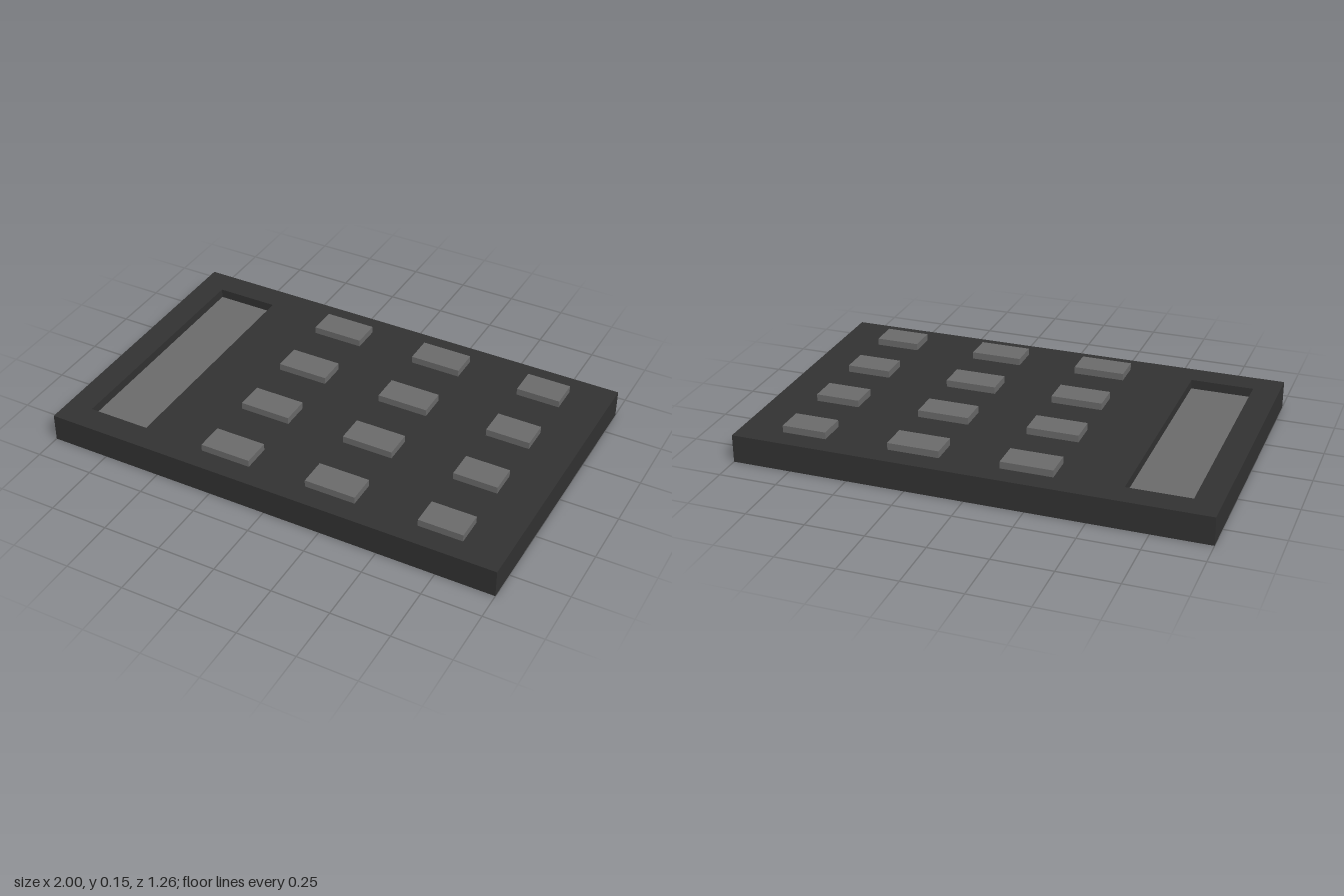
import * as THREE from 'three';

const BODY = { width: 2, depth: 1.26, height: 0.12 };
const SLOT = { x: -0.753, width: 0.27, depth: 1.034, floor: 0.08 };

const darkMaterial = new THREE.MeshStandardMaterial({ color: 0x333333 });
const greyMaterial = new THREE.MeshStandardMaterial({ color: 0x6c6c6c });

// Box placed by its centre in x and z and by its bottom and top in y
function block(name, material, x, z, width, depth, bottom, top) {
  const mesh = new THREE.Mesh(new THREE.BoxGeometry(width, top - bottom, depth), material);
  mesh.position.set(x, (bottom + top) / 2, z);
  mesh.name = name;
  return mesh;
}

function rectangle(path, x, width, depth) {
  const w = width / 2, d = depth / 2;
  path.moveTo(x - w, -d);
  path.lineTo(x + w, -d);
  path.lineTo(x + w, d);
  path.lineTo(x - w, d);
  path.closePath();
  return path;
}

export function createModel() {
  const model = new THREE.Group();
  model.name = 'calculator';

  // Case with a rectangular opening for the display
  const outline = rectangle(new THREE.Shape(), 0, BODY.width, BODY.depth);
  outline.holes.push(rectangle(new THREE.Path(), SLOT.x, SLOT.width, SLOT.depth));
  const caseGeometry = new THREE.ExtrudeGeometry(outline, { depth: BODY.height, bevelEnabled: false });
  caseGeometry.rotateX(-Math.PI / 2);
  const body = new THREE.Mesh(caseGeometry, darkMaterial);
  body.name = 'case';
  model.add(body);

  // Bottom of the opening and the sunken display
  model.add(block('caseBottom', darkMaterial, SLOT.x, 0, SLOT.width, SLOT.depth, 0, 0.02));
  model.add(block('display', greyMaterial, SLOT.x, 0, SLOT.width, SLOT.depth, 0.02, SLOT.floor));

  // Keypad: three columns of four keys, the last column narrower
  const keypad = new THREE.Group();
  keypad.name = 'keypad';
  const columns = [[-0.228, 0.22], [0.247, 0.22], [0.723, 0.19]];
  for (const [x, width] of columns) {
    for (let row = 0; row < 4; row++) {
      const z = -0.474 + row * 0.316;
      keypad.add(block('key', greyMaterial, x, z, width, 0.122, BODY.height, 0.15));
    }
  }
  model.add(keypad);

  return model;
}
